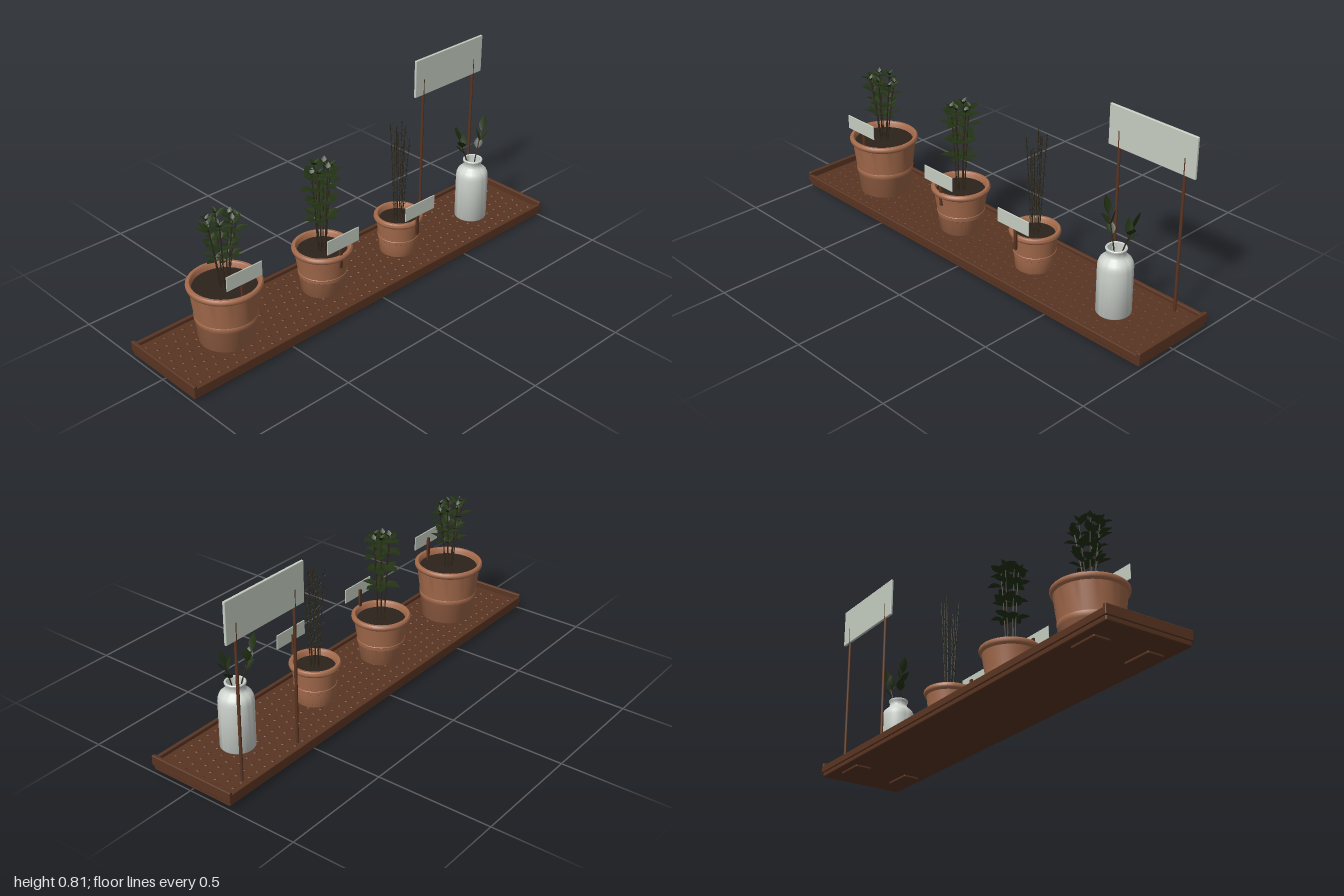
import * as THREE from 'three';
import { mergeGeometries, toCreasedNormals } from 'three/addons/utils/BufferGeometryUtils.js';
import { RoundedBoxGeometry } from 'three/addons/geometries/RoundedBoxGeometry.js';

const mat = (name, color, side = THREE.FrontSide) => {
  const m = new THREE.MeshStandardMaterial({ color, side });
  m.name = name;
  return m;
};

export function createModel() {
  const model = new THREE.Group();
  model.name = 'herbTray';
  const wood = mat('brown wood', 0x5a3522);
  const clay = mat('terracotta', 0xa56b4c);
  const soil = mat('dark soil', 0x2b221b);
  const leafGreen = mat('leaf green', 0x223214, THREE.DoubleSide);
  const needleGreen = mat('needle green', 0x283022);
  const stemBrown = mat('stem brown', 0x33291c);
  const plate = mat('pale plate', 0xc6cec2);
  const ceramic = mat('glazed ceramic', 0xcfd4ce);

  let seed = 7;
  const rnd = () => (seed = (seed * 16807) % 2147483647) / 2147483647;
  const vary = (v, amount) => v * (1 + (rnd() - 0.5) * 2 * amount);
  const V = (x, y, z) => new THREE.Vector3(x, y, z);

  const add = (parent, name, geo, material, x = 0, y = 0, z = 0) => {
    const m = new THREE.Mesh(geo, material);
    m.name = name;
    m.position.set(x, y, z);
    parent.add(m);
    return m;
  };
  const group = (name, x = 0, y = 0, z = 0) => {
    const g = new THREE.Group();
    g.name = name;
    g.position.set(x, y, z);
    model.add(g);
    return g;
  };
  const box = (w, h, d, r = 0.004) => new RoundedBoxGeometry(w, h, d, 2, r);
  const lathe = (pts, n = 48) =>
    toCreasedNormals(new THREE.LatheGeometry(pts.map(p => new THREE.Vector2(...p)), n), 0.7);

  // Tray: base board, low side rims, taller end rims, feet and a studded floor
  const FLOOR = 0.046;
  const tray = group('tray');
  add(tray, 'base', box(1.99, 0.024, 0.39, 0.006), wood, 0, 0.022, 0);
  add(tray, 'floor', new THREE.BoxGeometry(1.97, 0.02, 0.37), wood, 0, FLOOR - 0.01, 0);
  for (const s of [-1, 1]) {
    add(tray, 'sideRim', box(2, 0.032, 0.016), wood, 0, 0.046, s * 0.192);
    add(tray, 'endRim', box(0.016, 0.044, 0.4), wood, s * 0.992, 0.052, 0);
    for (const t of [-1, 1]) add(tray, 'foot', box(0.13, 0.014, 0.075), wood, s * 0.82, 0.007, t * 0.122);
  }
  const studs = [];
  for (let i = 0; i < 44; i++) for (let j = 0; j < 8; j++)
    studs.push(new THREE.CylinderGeometry(0.006, 0.008, 0.003, 6)
      .translate(-0.957 + i * 0.044 + (j % 2) * 0.022, FLOOR + 0.0015, -0.158 + j * 0.045));
  add(tray, 'floorStuds', mergeGeometries(studs), wood);

  // Pots with a rolled lip, a fine raised band and soil
  function pot(name, x, top, R, r) {
    const g = group(name, x, 0, 0), h = top - FLOOR, w = R - 0.012;
    const side = t => r + (w - r) * t;
    add(g, 'potBody', lathe([
      [0, FLOOR], [r - 0.004, FLOOR], [r, FLOOR + 0.004],
      [side(0.36), FLOOR + h * 0.36], [side(0.37) + 0.002, FLOOR + h * 0.37],
      [side(0.45) + 0.002, FLOOR + h * 0.45], [side(0.46), FLOOR + h * 0.46],
      [w, top - 0.028], [R - 0.003, top - 0.022], [R, top - 0.013], [R - 0.001, top - 0.005],
      [R - 0.006, top], [R - 0.016, top], [R - 0.021, top - 0.006], [R - 0.025, top - 0.04],
    ]), clay);
    add(g, 'soil', new THREE.CylinderGeometry(R - 0.022, R - 0.026, 0.01, 40), soil, 0, top - 0.03, 0);
    return g;
  }

  // Name plate on a stake at the front of a pot
  function label(parent, y) {
    add(parent, 'labelPlate', box(0.173, 0.064, 0.005, 0.002), plate, 0, y, 0.1255);
    add(parent, 'labelStake', new THREE.BoxGeometry(0.014, 0.137, 0.009), wood, 0, y - 0.064, 0.1125);
  }

  // Pointed leaf, folded along its midrib and arching over its length
  function leaf(base, azimuth, pitch, length, width, arch = -0.15) {
    const g = new THREE.PlaneGeometry(1, 1, 7, 2), p = g.attributes.position;
    for (let i = 0; i < p.count; i++) {
      const t = p.getX(i) + 0.5, s = p.getY(i) * 2;
      const half = width * 0.5 * Math.sin(Math.PI * Math.pow(t, 0.85)) + 0.0008;
      p.setXYZ(i, t * length, arch * length * t * t + Math.abs(s) * half * 0.3, -s * half);
    }
    g.computeVertexNormals();
    return g.rotateZ(pitch).rotateY(azimuth).translate(base.x, base.y, base.z);
  }
  const stemCurve = (a, b, lean = 0.35) =>
    new THREE.QuadraticBezierCurve3(a, V(a.x + (b.x - a.x) * lean, (a.y + b.y) / 2, a.z + (b.z - a.z) * lean), b);
  const tube = (curve, r) => new THREE.TubeGeometry(curve, 10, r, 5);

  // Leafy herb: a ring of stems with crossed leaf pairs at each tier
  function leafyHerb(parent, o) {
    const stems = [], leaves = [];
    for (let i = 0; i < o.count; i++) {
      const a = (i / o.count) * Math.PI * 2 + 0.3, c = Math.cos(a), s = Math.sin(a);
      const curve = stemCurve(V(c * 0.018, o.y0, s * 0.015),
        V(c * o.spreadX, vary(o.y1, 0.02), s * o.spreadZ));
      stems.push(tube(curve, 0.0028));
      o.tiers.forEach((t, k) => {
        const p = curve.getPoint(t);
        for (let n = 0; n < 2; n++)
          leaves.push(leaf(p, -a + n * Math.PI + (k % 2) * 1.4 + (rnd() - 0.5) * 0.6,
            vary(o.pitch, 0.35), vary(o.length, 0.12), o.width));
      });
      const tip = curve.getPoint(1);
      for (let n = 0; n < 3; n++) leaves.push(leaf(tip, -a + n * 2.1, 0.95, o.length * 0.55, o.width * 0.5));
    }
    add(parent, 'stems', mergeGeometries(stems), stemBrown);
    add(parent, 'leaves', mergeGeometries(leaves), leafGreen);
  }

  const broad = pot('largePot', -0.682, 0.31, 0.152, 0.114);
  label(broad, 0.386);
  leafyHerb(broad, { count: 7, y0: 0.275, y1: 0.575, spreadX: 0.068, spreadZ: 0.04,
    tiers: [0.46, 0.64, 0.82, 0.95], pitch: 0.5, length: 0.055, width: 0.03 });

  const bushy = pot('mediumPot', -0.176, 0.255, 0.127, 0.09);
  label(bushy, 0.326);
  leafyHerb(bushy, { count: 6, y0: 0.22, y1: 0.6, spreadX: 0.045, spreadZ: 0.03,
    tiers: [0.42, 0.62, 0.82, 0.97], pitch: 0.3, length: 0.06, width: 0.042 });

  // Needle herb: upright sprigs covered in short needles
  const slim = pot('smallPot', 0.267, 0.225, 0.107, 0.08);
  label(slim, 0.3);
  const sprigs = [], needles = [], up = V(0, 1, 0);
  for (let i = 0; i < 8; i++) {
    const a = i * 0.785 + 0.2, r = i % 2 ? 0.042 : 0.026;
    const curve = stemCurve(V(Math.cos(a) * 0.018, 0.19, Math.sin(a) * 0.018),
      V(Math.cos(a) * r, 0.57 + 0.1 * rnd(), Math.sin(a) * r));
    sprigs.push(tube(curve, 0.0018));
    for (let k = 0; k < 36; k++) {
      const p = curve.getPoint(0.2 + 0.8 * k / 36), b = k * 2.4 + i;
      const dir = V(Math.cos(b), 1, Math.sin(b)).normalize();
      needles.push(new THREE.ConeGeometry(0.0018, 0.018, 4).translate(0, 0.009, 0)
        .applyQuaternion(new THREE.Quaternion().setFromUnitVectors(up, dir)).translate(p.x, p.y, p.z));
    }
  }
  add(slim, 'sprigs', mergeGeometries(sprigs), stemBrown);
  add(slim, 'needles', mergeGeometries(needles), needleGreen);

  // Bottle vase holding two cuttings
  const vase = group('bottleVase', 0.714, 0, 0.019);
  add(vase, 'bottle', lathe([
    [0, FLOOR], [0.067, FLOOR], [0.071, FLOOR + 0.005], [0.071, 0.25], [0.069, 0.265], [0.063, 0.28],
    [0.052, 0.29], [0.043, 0.297], [0.039, 0.305], [0.039, 0.32], [0.043, 0.325], [0.043, 0.331],
    [0.04, 0.334], [0.034, 0.332], [0.033, 0.29], [0.055, 0.27], [0.062, 0.22], [0, 0.1],
  ]), ceramic);
  const cutStems = [], cutLeaves = [];
  for (const s of [-1, 1]) {
    const curve = stemCurve(V(-s * 0.01, 0.15, 0), V(s * 0.068, 0.44, -0.02 + s * 0.005), 0.2);
    cutStems.push(tube(curve, 0.0028));
    const facing = s > 0 ? 0 : Math.PI;
    [[1, 1.15, 0.075, 0.1], [0.86, 0.75, 0.06, -0.5], [0.86, 1.2, 0.07, 2.6], [0.74, 0.7, 0.06, 0.5]]
      .forEach(([t, pitch, len, turn]) =>
        cutLeaves.push(leaf(curve.getPoint(t), facing + s * turn, pitch, len, 0.036, 0.12)));
  }
  add(vase, 'cuttingStems', mergeGeometries(cutStems), stemBrown);
  add(vase, 'cuttingLeaves', mergeGeometries(cutLeaves), leafGreen);

  // Sign board on two posts at the back
  const sign = group('sign', 0.72, 0, -0.151);
  add(sign, 'signBoard', box(0.422, 0.173, 0.0115, 0.003), plate, 0, 0.7245, 0);
  for (const s of [-1, 1])
    add(sign, 'signPost', new THREE.CylinderGeometry(0.0064, 0.0064, 0.665, 12), wood, s * 0.159, 0.3785, 0);

  return model;
}
